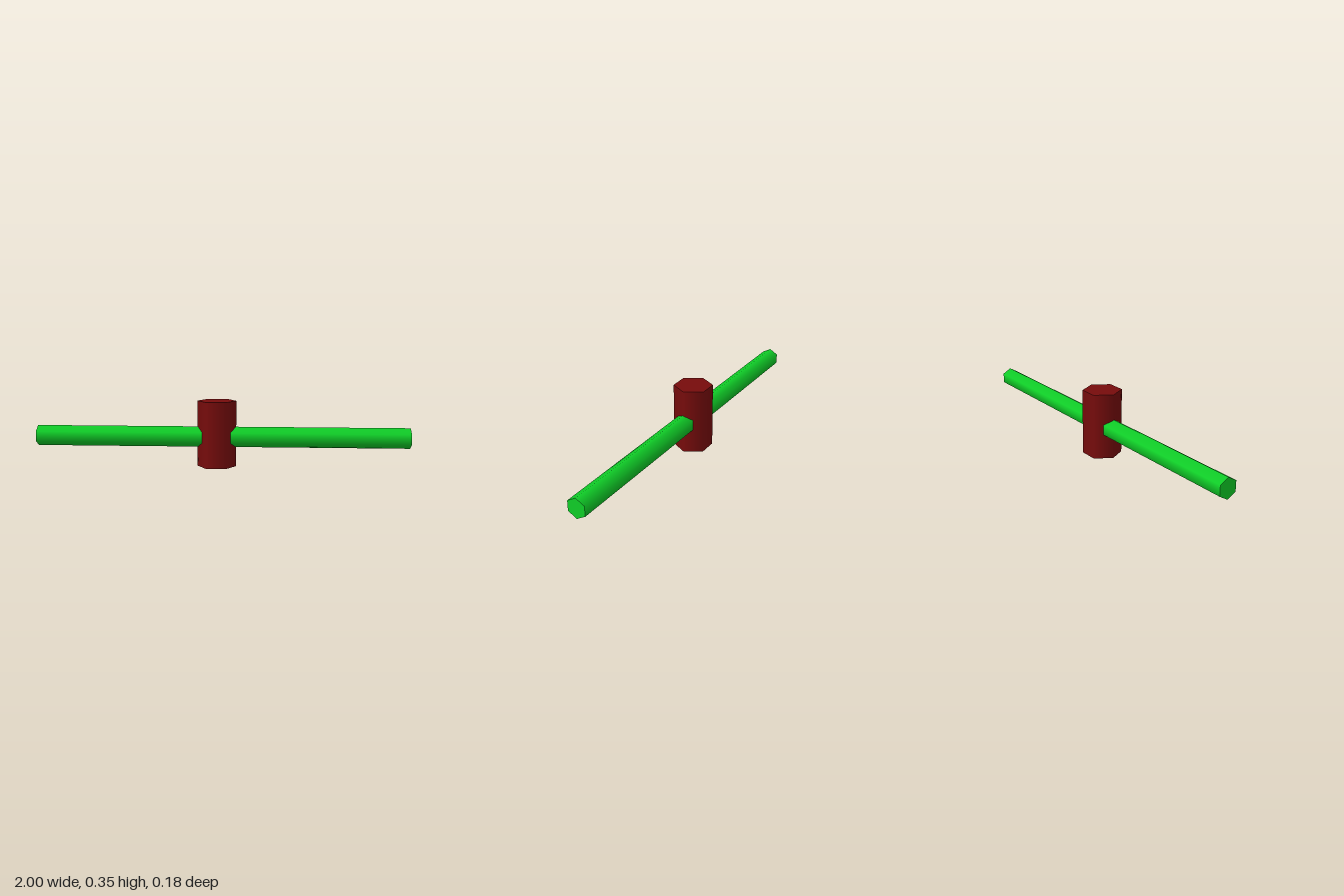
import * as THREE from 'three';

// Smooth-shaded hexagonal prism along y, with corners on the x axis
function hexPrism(name, radius, length, color) {
  const geometry = new THREE.CylinderGeometry(radius, radius, length, 6, 1, false, Math.PI / 6);
  const mesh = new THREE.Mesh(geometry, new THREE.MeshStandardMaterial({ color }));
  mesh.name = name;
  return mesh;
}

export function createModel() {
  const model = new THREE.Group();
  model.name = 'crossbarAndHub';

  // Upright hub, slightly off the middle of the bar
  const hub = hexPrism('hub', 0.104, 0.354, 0x780c0c);
  hub.position.set(-0.027, 0.177, 0);
  model.add(hub);

  // Long bar passing through the hub
  const bar = hexPrism('crossbar', 0.055, 2, 0x10d028);
  bar.geometry.rotateZ(Math.PI / 2);
  bar.position.set(0, 0.16, 0.003);
  model.add(bar);

  return model;
}
